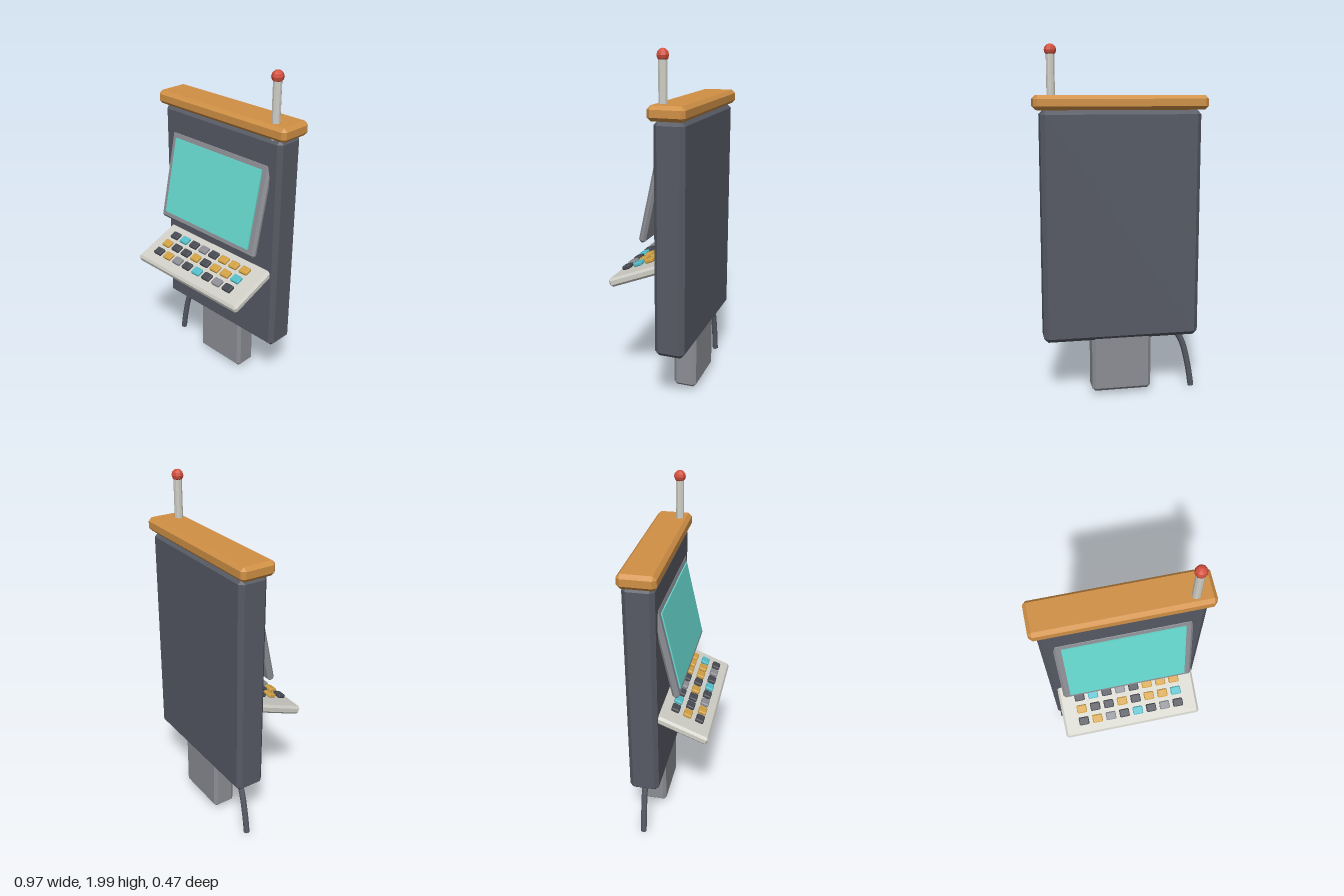
import * as THREE from 'three';
import { ConvexGeometry } from 'three/addons/geometries/ConvexGeometry.js';

const paint = (name, color) => {
  const m = new THREE.MeshStandardMaterial({ color, flatShading: true });
  m.name = name;
  return m;
};

// Box with flat chamfers of width c on every edge
function chamferBox(w, h, d, c) {
  const pts = [];
  for (const x of [-1, 1]) for (const y of [-1, 1]) for (const z of [-1, 1]) {
    const [a, b, e] = [w / 2, h / 2, d / 2];
    pts.push(
      new THREE.Vector3(x * a, y * (b - c), z * (e - c)),
      new THREE.Vector3(x * (a - c), y * b, z * (e - c)),
      new THREE.Vector3(x * (a - c), y * (b - c), z * e)
    );
  }
  return new ConvexGeometry(pts);
}

export function createModel() {
  const slate = paint('slate casing', 0x565a64);
  const orange = paint('orange cap', 0xd09045);
  const teal = paint('teal screen', 0x66d9cf);
  const grey = paint('mid grey', 0x8c8e94);
  const pale = paint('pale grey', 0xcfcec6);
  const red = paint('red lamp', 0xd4503e);
  const dark = paint('dark key', 0x474951);
  const gold = paint('gold key', 0xd1a143);
  const cyan = paint('cyan key', 0x52bcc8);

  const model = new THREE.Group();
  model.name = 'terminal';
  const add = (parent, name, geometry, material, x, y, z) => {
    const mesh = new THREE.Mesh(geometry, material);
    mesh.name = name;
    mesh.position.set(x, y, z);
    parent.add(mesh);
    return mesh;
  };

  // Casing, cap and foot
  add(model, 'casing', chamferBox(0.894, 1.3, 0.172, 0.024), slate, 0, 0.995, -0.136);
  add(model, 'cap', chamferBox(0.966, 0.08, 0.206, 0.02), orange, 0, 1.685, -0.133);
  add(model, 'foot', chamferBox(0.344, 0.36, 0.136, 0.018), grey, 0, 0.21, -0.136);

  // Antenna with lamp
  add(model, 'antenna', new THREE.CylinderGeometry(0.024, 0.024, 0.325, 10), pale, 0.378, 1.7975, -0.085);
  add(model, 'lamp', new THREE.SphereGeometry(0.034, 8, 6), red, 0.378, 1.966, -0.085);

  // Tilted display
  const display = new THREE.Group();
  display.name = 'display';
  display.position.set(0, 1.235, -0.013);
  display.rotation.x = -0.215;
  model.add(display);
  add(display, 'displayFrame', chamferBox(0.76, 0.54, 0.04, 0.014), grey, 0, 0, 0);
  add(display, 'screen', new THREE.BoxGeometry(0.676, 0.458, 0.009), teal, 0, 0, 0.0235);

  // Sloping keyboard, keys listed row by row from the back
  const keyboard = new THREE.Group();
  keyboard.name = 'keyboard';
  keyboard.position.set(0, 0.785, 0.07);
  keyboard.rotation.x = 0.38;
  model.add(keyboard);
  add(keyboard, 'keyboardDeck', chamferBox(0.825, 0.05, 0.34, 0.013), pale, 0, 0, 0);
  const keyColours = { d: dark, c: cyan, g: grey, y: gold };
  const keyGeometry = chamferBox(0.06, 0.022, 0.048, 0.005);
  ['dcdgdyyy', 'yddydyyc', 'dygdcdgd'].forEach((row, r) => {
    [...row].forEach((k, i) => {
      add(keyboard, 'key', keyGeometry, keyColours[k], (i - 3.5) * 0.083, 0.043, -0.064 + r * 0.074);
    });
  });

  // Cable hanging from the underside
  const path = new THREE.CatmullRomCurve3([
    [-0.325, 0.37], [-0.372, 0.28], [-0.408, 0.14], [-0.43, 0.008]
  ].map(([x, y]) => new THREE.Vector3(x, y, -0.15)));
  add(model, 'cable', new THREE.TubeGeometry(path, 12, 0.018, 8), slate, 0, 0, 0);
  const end = add(model, 'cableEnd', new THREE.CircleGeometry(0.018, 8), slate, -0.43, 0.008, -0.15);
  end.lookAt(end.position.clone().add(path.getTangent(1)));

  return model;
}
